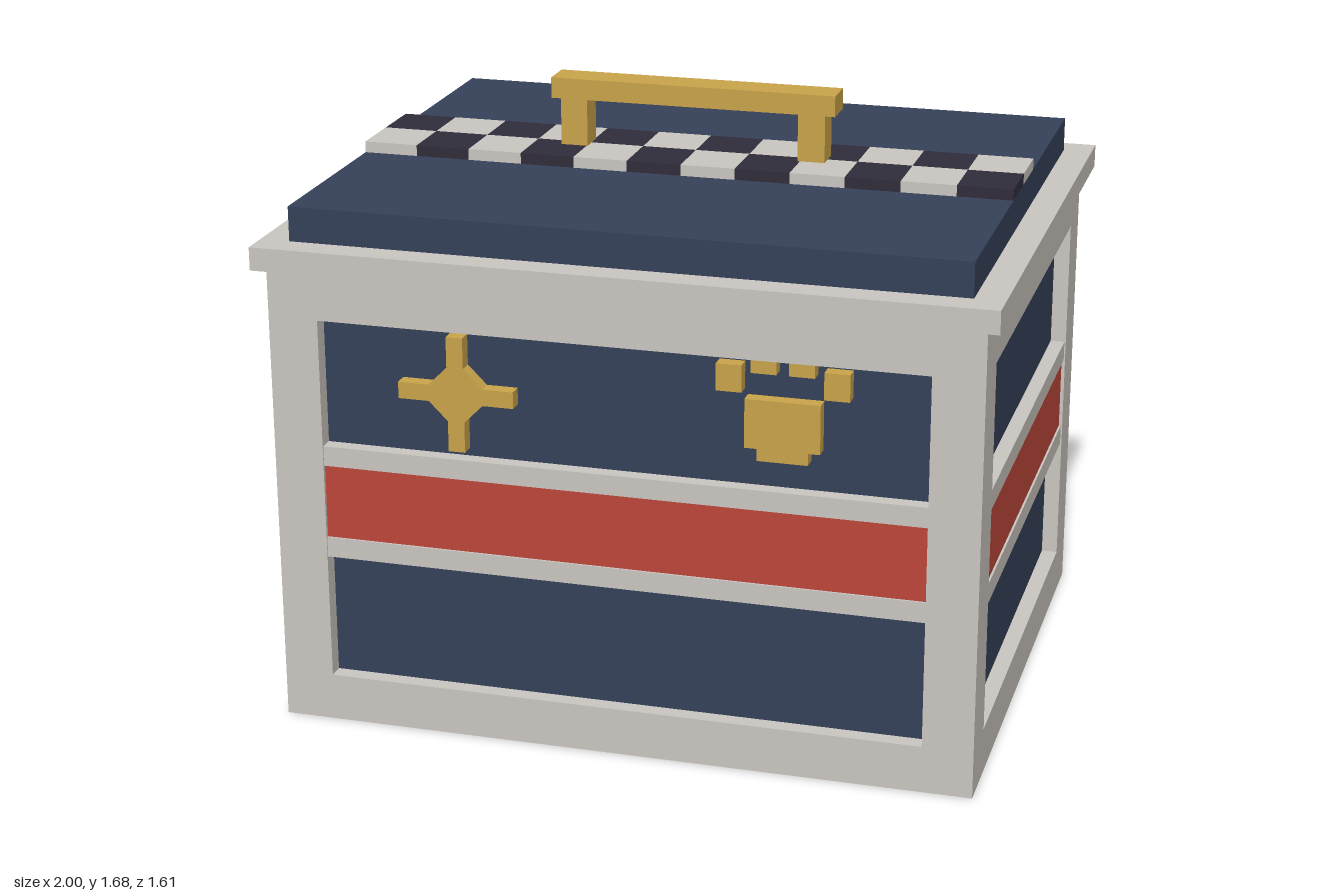
import * as THREE from 'three';

const mat = (name, color) => {
  const m = new THREE.MeshStandardMaterial({ color });
  m.name = name;
  return m;
};

export function createModel() {
  const model = new THREE.Group();
  model.name = 'chest';
  const navy = mat('navy', 0x35415a);
  const stone = mat('warm grey', 0xc9c5bf);
  const red = mat('red', 0xbc463a);
  const gold = mat('gold', 0xc8a34a);
  const dark = mat('dark plum', 0x302d3b);

  // box from its min and max on each axis
  const box = (parent, name, m, [x0, x1], [y0, y1], [z0, z1]) => {
    const mesh = new THREE.Mesh(new THREE.BoxGeometry(x1 - x0, y1 - y0, z1 - z0), m);
    mesh.position.set((x0 + x1) / 2, (y0 + y1) / 2, (z0 + z1) / 2);
    mesh.name = name;
    parent.add(mesh);
  };
  const group = (name, z = 0) => {
    const g = new THREE.Group();
    g.name = name;
    g.position.z = z;
    model.add(g);
    return g;
  };

  // body: recessed navy core inside a frame of posts and rails
  const X = 0.965, Z = 0.769, WX = 0.827, WZ = 0.623, wall = 0.075, recess = 0.045;
  const body = group('body', 0.011);
  box(body, 'core', navy, [-X + recess, X - recess], [0.03, 1.3], [-Z + recess, Z - recess]);
  for (const sx of [-1, 1]) for (const sz of [-1, 1]) {
    const xs = [sx * WX, sx * X].sort((a, b) => a - b);
    const zs = [sz * WZ, sz * Z].sort((a, b) => a - b);
    box(body, 'cornerPost', stone, xs, [0, 1.3], zs);
  }
  // horizontal members repeated on all four sides: y range, inset, depth
  const members = [
    ['bottomRail', stone, [0, 0.132], 0, wall],
    ['lowerTrim', stone, [0.485, 0.542], 0.004, wall],
    ['redBand', red, [0.542, 0.75], 0.01, wall],
    ['upperTrim', stone, [0.75, 0.806], 0.004, wall],
    ['topRail', stone, [1.163, 1.3], 0, wall],
  ];
  for (const [name, m, ys, inset, depth] of members) for (const s of [-1, 1]) {
    const span = (outer) => [s * (outer - depth), s * (outer - inset)].sort((a, b) => a - b);
    box(body, name, m, [-WX, WX], ys, span(Z));
    box(body, name, m, span(X), ys, [-WZ, WZ]);
  }

  // rim and lid
  const lid = group('lid');
  box(lid, 'rim', stone, [-1, 1], [1.296, 1.36], [-0.807, 0.807]);
  box(lid, 'lidPanel', navy, [-0.918, 0.918], [1.36, 1.456], [-0.728, 0.728]);

  // chequered strip, two rows of twelve tiles
  const strip = group('chequeredStrip', 0.007);
  const tile = 1.836 / 12;
  for (let row = 0; row < 2; row++) for (let i = 0; i < 12; i++) {
    const x = -0.918 + i * tile, z = (row - 1) * 0.16;
    box(strip, 'tile', (i + row) % 2 ? stone : dark, [x, x + tile], [1.456, 1.487], [z, z + 0.16]);
  }

  // carrying handle
  const handle = group('handle', 0.006);
  box(handle, 'grip', gold, [-0.404, 0.404], [1.62, 1.678], [-0.048, 0.048]);
  for (const x of [-0.341, 0.337])
    box(handle, 'handlePost', gold, [x - 0.038, x + 0.038], [1.487, 1.62], [-0.04, 0.04]);

  // four-armed star on the upper front panel
  const a = 0.023, b = 0.075, r = 0.16;
  const pts = [];
  for (let k = 0; k < 4; k++) {
    const c = [1, 0, -1, 0][k], s = [0, 1, 0, -1][k];
    for (const [x, y] of [[b, -a], [r, -a], [r, a], [b, a]])
      pts.push(new THREE.Vector2(x * c - y * s, x * s + y * c));
  }
  const star = new THREE.Mesh(
    new THREE.ExtrudeGeometry(new THREE.Shape(pts), { depth: 0.05, bevelEnabled: false }), gold);
  star.name = 'star';
  star.position.set(-0.446, 0.988, 0.725);
  model.add(star);

  // paw ornament: pad and four toes
  const paw = group('paw');
  const pz = [0.725, 0.774];
  box(paw, 'pad', gold, [0.34, 0.541], [0.92, 1.054], pz);
  box(paw, 'padHeel', gold, [0.373, 0.509], [0.887, 0.92], pz);
  for (const [x, y] of [[0.298, 1.107], [0.39, 1.163], [0.491, 1.163], [0.583, 1.107]])
    box(paw, 'toe', gold, [x - 0.034, x + 0.034], [y - 0.037, y + 0.037], pz);

  return model;
}
